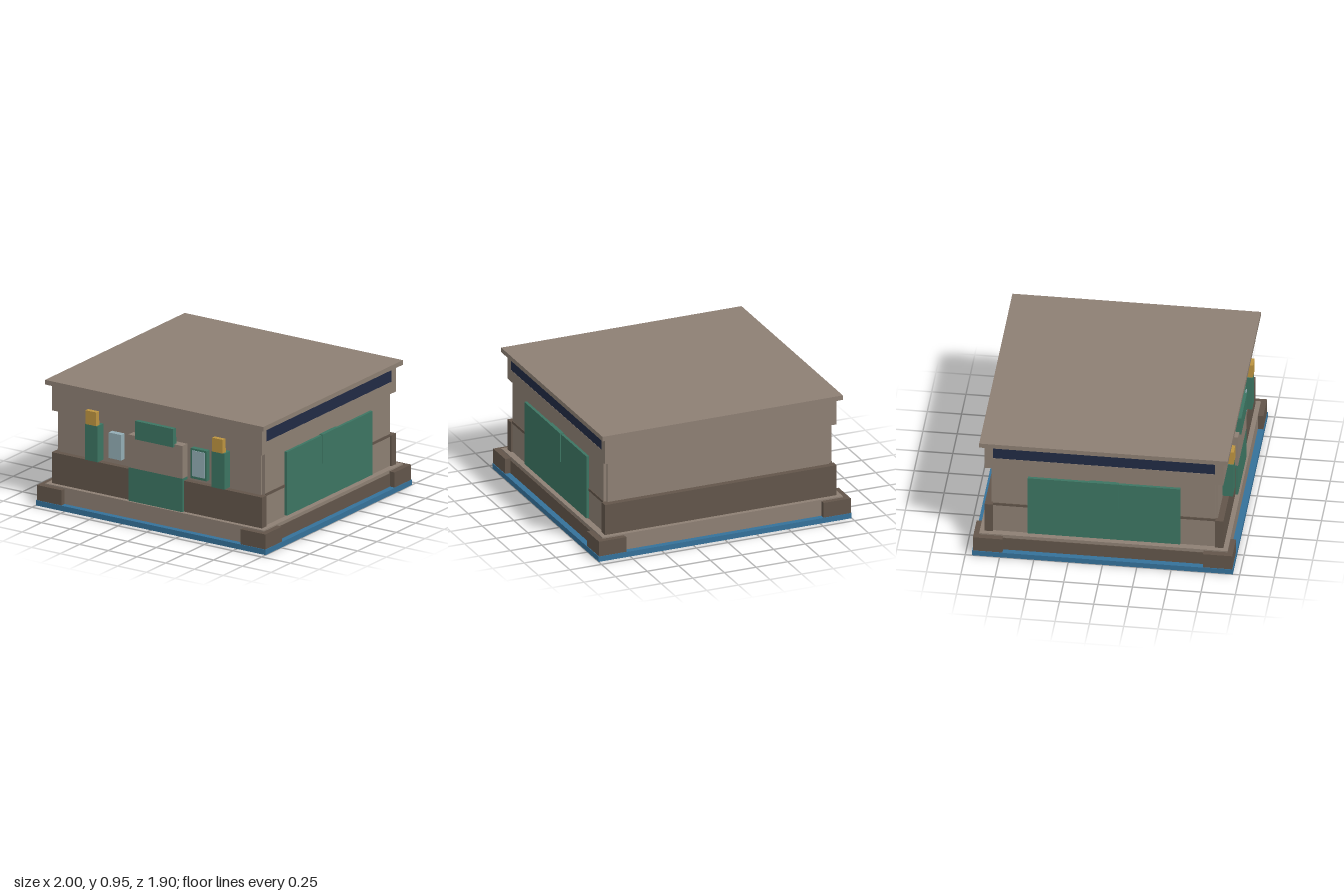
import * as THREE from 'three';

export function createModel() {
  const model = new THREE.Group();
  model.name = 'building';
  const paint = (name, color) => {
    const m = new THREE.MeshStandardMaterial({ color });
    m.name = name;
    return m;
  };
  const stone = paint('light stone', 0x8d7f73);
  const dark = paint('dark stone', 0x62554a);
  const green = paint('green', 0x3c7562);
  const gold = paint('gold', 0xbd9440);
  const navy = paint('navy', 0x212b44);
  const blue = paint('blue', 0x35719a);
  const glass = paint('glass', 0x93adb5);

  // Box given by its limits on each axis
  function box(name, mat, x0, x1, y0, y1, z0, z1) {
    const mesh = new THREE.Mesh(new THREE.BoxGeometry(x1 - x0, y1 - y0, z1 - z0), mat);
    mesh.position.set((x0 + x1) / 2, (y0 + y1) / 2, (z0 + z1) / 2);
    mesh.name = name;
    model.add(mesh);
  }
  // Box centred on x = 0 and z = 0
  const slab = (name, mat, w, y0, y1, d) => box(name, mat, -w, w, y0, y1, -d, d);
  // The same box on the left (+x) or mirrored to the right (-x)
  const sideBox = (s, name, mat, x0, x1, ...rest) =>
    box(name, mat, Math.min(s * x0, s * x1), Math.max(s * x0, s * x1), ...rest);

  // Base, walls and roof
  slab('basePlate', blue, 1, 0, 0.04, 0.95);
  slab('plinth', stone, 0.95, 0.04, 0.165, 0.905);
  slab('sideWalls', stone, 0.9, 0.165, 0.72, 0.81);
  slab('endWalls', stone, 0.875, 0.165, 0.72, 0.825);
  slab('upperBand', stone, 0.915, 0.72, 0.81, 0.87);
  slab('parapetCore', stone, 0.905, 0.81, 0.92, 0.81);
  slab('roof', stone, 0.95, 0.92, 0.955, 0.905);

  // Front and back courses
  for (const s of [1, -1]) {
    const [z0, z1] = s > 0 ? [0.81, 0.87] : [-0.87, -0.81];
    box('lowerCourse', dark, -0.915, 0.915, 0.165, 0.4, z0, z1);
    box('parapet', stone, -0.915, 0.915, 0.81, 0.92, z0, z1);
  }

  // Details repeated on both sides
  for (const s of [1, -1]) {
    sideBox(s, 'plinthStrip', dark, 0.95, 0.955, 0.04, 0.14, -0.8, 0.8);
    sideBox(s, 'sideLedge', dark, 0.9, 0.906, 0.39, 0.41, -0.81, 0.81);
    sideBox(s, 'clerestory', navy, 0.905, 0.913, 0.81, 0.92, -0.81, 0.81);
    sideBox(s, 'sideDoor', green, 0.9, 0.922, 0.175, 0.66, -0.555, 0.555);
    sideBox(s, 'sideDoorTab', green, 0.9, 0.93, 0.445, 0.667, -0.105, 0.105);
    sideBox(s, 'frontCornerBlock', dark, 0.78, 0.995, 0.04, 0.155, 0.73, 0.945);
    sideBox(s, 'backCornerBlock', dark, 0.78, 0.995, 0.04, 0.155, -0.945, -0.73);
    // Front pillars with lamps
    sideBox(s, 'pillar', green, 0.495, 0.607, 0.41, 0.685, 0.825, 0.9);
    sideBox(s, 'lamp', gold, 0.505, 0.597, 0.685, 0.79, 0.86, 0.905);
  }

  // Entrance
  box('frontDoor', green, -0.235, 0.235, 0.165, 0.42, 0.825, 0.89);
  box('doorHead', stone, -0.235, 0.235, 0.42, 0.67, 0.825, 0.89);
  box('lintel', green, -0.165, 0.165, 0.65, 0.79, 0.86, 0.905);

  // Windows
  box('windowFrame', green, 0.29, 0.43, 0.43, 0.66, 0.825, 0.865);
  box('framedGlass', glass, 0.305, 0.415, 0.45, 0.645, 0.865, 0.871);
  box('plainGlass', glass, -0.42, -0.31, 0.45, 0.645, 0.825, 0.871);

  return model;
}
